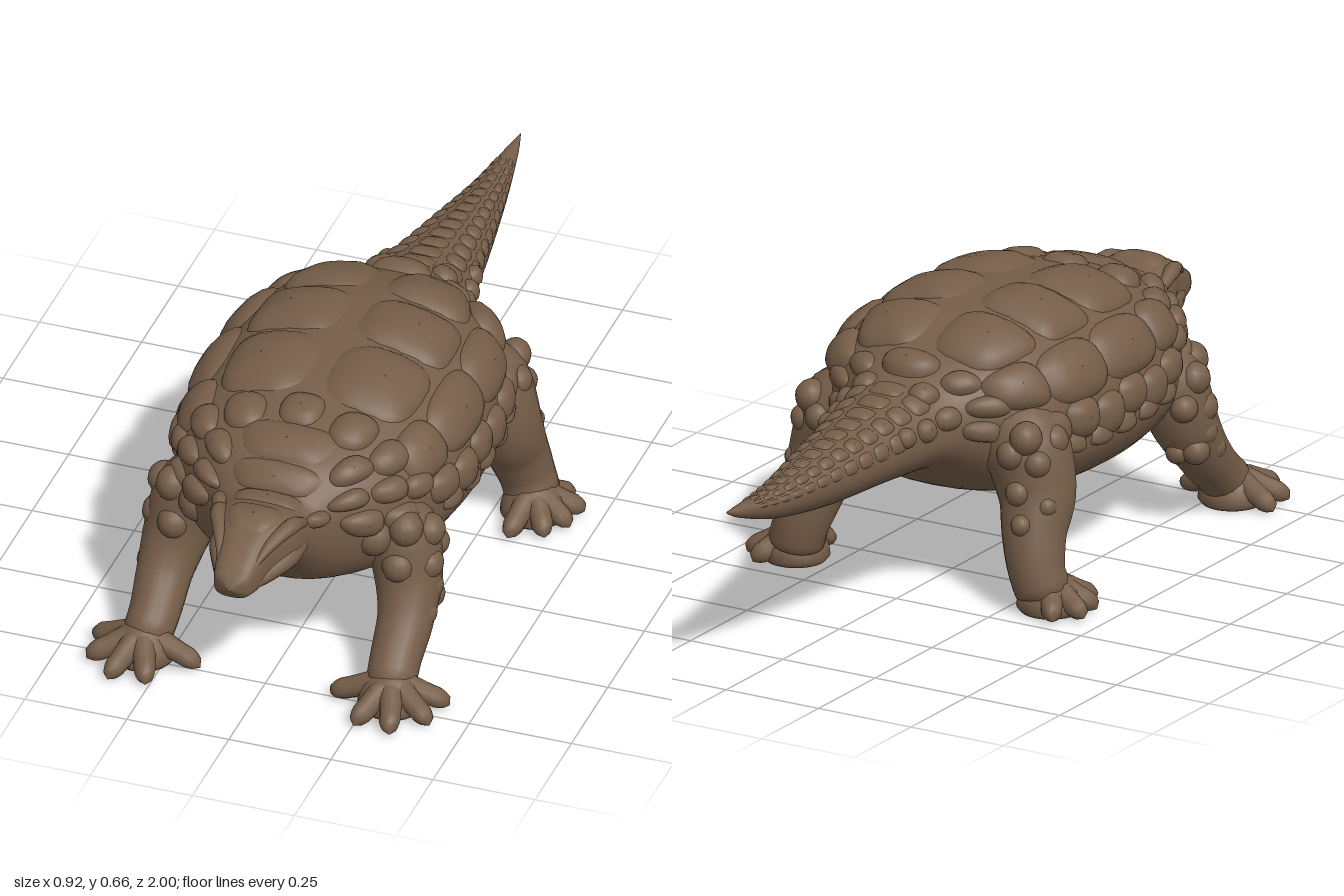
import * as THREE from 'three';
import { mergeVertices } from 'three/addons/utils/BufferGeometryUtils.js';

const hide = new THREE.MeshStandardMaterial({ color: 0x755d48 });
hide.name = 'brown hide';

// Body stations: z, half width, height of widest point, top, bottom, roundness (lower is boxier)
const S = [
  [1, 0.002, 0.42, 0.422, 0.418, 0.7], [0.99, 0.036, 0.42, 0.446, 0.394, 0.65], [0.96, 0.05, 0.42, 0.468, 0.382, 0.64],
  [0.89, 0.068, 0.43, 0.508, 0.378, 0.66], [0.82, 0.1, 0.44, 0.528, 0.374, 0.68], [0.72, 0.125, 0.43, 0.512, 0.305, 0.78],
  [0.65, 0.21, 0.41, 0.565, 0.24, 0.84], [0.55, 0.288, 0.39, 0.597, 0.207, 0.84], [0.4, 0.335, 0.38, 0.63, 0.19, 0.84],
  [0.2, 0.346, 0.37, 0.648, 0.185, 0.84], [0, 0.328, 0.37, 0.637, 0.21, 0.84], [-0.12, 0.27, 0.4, 0.598, 0.25, 0.84],
  [-0.22, 0.165, 0.42, 0.552, 0.318, 0.88], [-0.35, 0.122, 0.42, 0.518, 0.33, 0.9], [-0.6, 0.077, 0.41, 0.474, 0.338, 0.9],
  [-0.8, 0.042, 0.41, 0.442, 0.366, 0.9], [-0.95, 0.014, 0.428, 0.439, 0.412, 0.9], [-1, 0.001, 0.438, 0.439, 0.437, 0.9],
];
const slope = (i, k) => {
  const a = S[Math.max(i - 1, 0)], b = S[Math.min(i + 1, S.length - 1)];
  return (b[k] - a[k]) / (b[0] - a[0]);
};
function station(z) {
  let i = 0;
  while (i < S.length - 2 && z < S[i + 1][0]) i++;
  const d = S[i + 1][0] - S[i][0], t = THREE.MathUtils.clamp((z - S[i][0]) / d, 0, 1), t2 = t * t, t3 = t2 * t;
  return [1, 2, 3, 4, 5].map(k => S[i][k] * (2 * t3 - 3 * t2 + 1) + S[i + 1][k] * (3 * t2 - 2 * t3)
    + d * (slope(i, k) * (t3 - 2 * t2 + t) + slope(i + 1, k) * (t3 - t2)));
}
const spow = (v, p) => Math.sign(v) * Math.abs(v) ** p;

// Point on the body; angle 0 is the spine, +PI/2 the left flank
function surf(z, a) {
  const [w, mid, top, bot, round] = station(z);
  const up = Math.cos(a) > 0, p = up ? round : round + 0.08, c = spow(Math.cos(a), p);
  return new THREE.Vector3(w * spow(Math.sin(a), p), mid + c * (up ? top - mid : mid - bot), z);
}
function surfNormal(z, a) {
  const da = surf(z, a + 0.03).sub(surf(z, a - 0.03));
  const dz = surf(z - 0.01, a).sub(surf(z + 0.01, a));
  return da.cross(dz).normalize();
}

// Skin over rows of points; rows share a length and close on themselves
function skin(rows) {
  const n = rows[0].length, idx = [];
  for (let i = 0; i < rows.length - 1; i++) for (let j = 0; j < n; j++) {
    const a = i * n + j, b = i * n + (j + 1) % n;
    idx.push(a, b, a + n, b, b + n, a + n);
  }
  const g = new THREE.BufferGeometry().setFromPoints(rows.flat());
  g.setIndex(idx);
  g.computeVertexNormals();
  return g;
}
function add(parent, name, geo) {
  const m = new THREE.Mesh(geo, hide);
  m.name = name;
  parent.add(m);
  return m;
}
function group(parent, name) {
  const g = new THREE.Group();
  g.name = name;
  parent.add(g);
  return g;
}

// Domed scute lying on the body surface
function scute(parent, name, z, hz, a, ha, h, square = 0.7) {
  const rows = [1, 0.94, 0.84, 0.65, 0.35, 0.01].map(r => Array.from({ length: 24 }, (_, j) => {
    const t = j / 24 * Math.PI * 2;
    const pz = z - hz * r * spow(Math.sin(t), square), pa = a + ha * r * spow(Math.cos(t), square);
    return surf(pz, pa).addScaledVector(surfNormal(pz, pa), (h + 0.008) * (1 - r ** 4) - 0.008);
  }));
  add(parent, name, skin(rows));
}
function pair(parent, name, z, hz, a, ha, h, square) {
  for (const s of [1, -1]) scute(parent, name, z, hz, s * a, ha, h, square);
}

// Tapered round limb through [x, y, z, radius] points
function limb(parent, name, pts, sides = 14, steps = 16) {
  const curve = new THREE.CatmullRomCurve3(pts.map(p => new THREE.Vector3(p[0], p[1], p[2])));
  let g = new THREE.TubeGeometry(curve, steps, 1, sides);
  const pos = g.attributes.position, v = new THREE.Vector3(), c = new THREE.Vector3();
  for (let i = 0; i < pos.count; i++) {
    const t = Math.floor(i / (sides + 1)) / steps;
    curve.getPointAt(t, c);
    const u = curve.getUtoTmapping(t) * (pts.length - 1), k = Math.min(Math.floor(u), pts.length - 2);
    const r = THREE.MathUtils.lerp(pts[k][3], pts[k + 1][3], u - k);
    v.fromBufferAttribute(pos, i).sub(c).multiplyScalar(r).add(c);
    pos.setXYZ(i, v.x, Math.max(v.y, 0.008), v.z);
  }
  g.deleteAttribute('uv');
  g.deleteAttribute('normal');
  g = mergeVertices(g, 1e-5);
  g.computeVertexNormals();
  add(parent, name, g);
}
function knob(parent, name, x, y, z, rx, ry, rz) {
  const m = add(parent, name, new THREE.SphereGeometry(1, 14, 10));
  m.position.set(x, y, z);
  m.scale.set(rx, ry, rz);
}

// Foot: domed, flat-soled palm with fanned toes
function foot(parent, px, pz, tips) {
  const g = group(parent, 'foot');
  const profile = [[0.001, 0.008], [0.07, 0.006], [0.08, 0.018], [0.077, 0.04], [0.066, 0.065], [0.045, 0.088], [0.02, 0.1], [0.001, 0.103]];
  const palm = add(g, 'palm', new THREE.LatheGeometry(profile.map(p => new THREE.Vector2(...p)), 24));
  palm.position.set(px, 0, pz);
  for (const [x, z] of tips) {
    const at = (f, y, r) => [px + (x - px) * f, y, pz + (z - pz) * f, r];
    limb(g, 'toe', [at(0.25, 0.062, 0.03), at(0.6, 0.043, 0.026), at(0.82, 0.031, 0.025), at(0.95, 0.021, 0.016), at(1, 0.014, 0.001)], 10, 10);
  }
}

export function createModel() {
  const model = new THREE.Group();
  model.name = 'armouredReptile';

  // Head, trunk and tail in one skin
  const rows = [];
  for (let i = 0; i <= 110; i++) {
    const z = 1 - i / 55;
    rows.push(Array.from({ length: 40 }, (_, j) => surf(z, j / 40 * Math.PI * 2)));
  }
  add(model, 'body', skin(rows));

  // Back shield: paired plates, flank plates, rim scutes
  const shell = group(model, 'shell');
  pair(shell, 'backPlate', 0.35, 0.12, 0.375, 0.36, 0.023, 0.62);
  pair(shell, 'backPlate', 0.135, 0.103, 0.385, 0.37, 0.023, 0.5);
  pair(shell, 'backPlate', -0.06, 0.095, 0.375, 0.36, 0.023, 0.58);
  for (const [z, hz, a] of [[0.45, 0.08, 1], [0.27, 0.13, 1.02], [0.06, 0.115, 1.02], [-0.1, 0.07, 0.98]])
    pair(shell, 'flankPlate', z, hz, a, 0.29, 0.024, 0.7);
  for (let i = 0; i < 6; i++) pair(shell, 'rimScute', 0.43 - i * 0.098, 0.058, 1.41 + (i % 2) * 0.05, 0.16, 0.022, 0.8);
  for (let i = 0; i < 5; i++) pair(shell, 'lowerRimScute', 0.4 - i * 0.1, 0.045, 1.6, 0.1, 0.016, 0.9);
  scute(shell, 'spineScute', 0.5, 0.055, 0, 0.13, 0.018, 0.9);

  // Neck bands and shoulder knobs
  const neck = group(model, 'neckArmour');
  scute(neck, 'neckBand', 0.6, 0.06, 0, 0.42, 0.013, 0.6);
  scute(neck, 'neckBand', 0.685, 0.034, 0, 0.65, 0.012, 0.7);
  scute(neck, 'neckBand', 0.738, 0.03, 0, 0.8, 0.01, 0.7);
  for (const [z, hz, a, ha] of [[0.52, 0.06, 0.4, 0.2], [0.615, 0.05, 0.68, 0.19], [0.53, 0.055, 0.82, 0.19],
    [0.66, 0.038, 1.05, 0.18], [0.58, 0.045, 1.13, 0.17], [0.51, 0.045, 1.24, 0.15], [0.65, 0.04, 1.46, 0.19],
    [0.57, 0.045, 1.5, 0.16], [0.725, 0.03, 1.2, 0.25]])
    pair(neck, 'shoulderScute', z, hz, a, ha, 0.022, 0.85);

  // Head: crown plate, brows and jaws
  const head = group(model, 'head');
  scute(head, 'crownPlate', 0.835, 0.06, 0, 0.7, 0.006, 0.7);
  for (const s of [1, -1]) {
    limb(head, 'brow', [[s * 0.098, 0.482, 0.765, 0.012], [s * 0.09, 0.504, 0.82, 0.02], [s * 0.063, 0.488, 0.885, 0.015], [s * 0.04, 0.455, 0.95, 0.004]], 10);
    limb(head, 'jaw', [[s * 0.088, 0.425, 0.77, 0.024], [s * 0.082, 0.42, 0.83, 0.026], [s * 0.052, 0.41, 0.91, 0.018], [s * 0.032, 0.41, 0.975, 0.004]], 10);
  }

  // Rump knobs
  const rump = group(model, 'rumpArmour');
  scute(rump, 'rumpKnob', -0.195, 0.045, 0, 0.36, 0.028, 1);
  for (const [z, hz, a, ha] of [[-0.185, 0.035, 0.68, 0.24], [-0.17, 0.04, 1.15, 0.18], [-0.19, 0.035, 1.5, 0.16], [-0.25, 0.035, 1.2, 0.25],
    [-0.26, 0.035, 0.55, 0.28], [-0.315, 0.03, 1.25, 0.28], [-0.38, 0.028, 1.2, 0.28]])
    pair(rump, 'rumpKnob', z, hz, a, ha, 0.018, 0.9);

  // Low tail scales in shrinking rings
  const tail = group(model, 'tailScales');
  for (let i = 0; i < 13; i++) {
    const z = -0.29 - 0.062 * i + 0.0011 * i * i, h = 0.008 - i * 0.0004, hz = 0.032 - i * 0.001;
    scute(tail, 'tailScale', z, hz, 0, 0.33, h, 0.65);
    pair(tail, 'tailScale', z - 0.008, hz, 0.64, 0.31, h, 0.65);
    if (i > 1) pair(tail, 'tailScale', z, hz, 1.24, 0.3, h * 0.8, 0.65);
  }

  // Legs, mirrored left and right
  for (const s of [1, -1]) {
    const side = s > 0 ? 'left' : 'right';
    const front = group(model, side + 'FrontLeg');
    limb(front, 'leg', [[s * 0.2, 0.42, 0.52, 0.07], [s * 0.255, 0.35, 0.535, 0.09], [s * 0.283, 0.25, 0.56, 0.08],
      [s * 0.295, 0.17, 0.612, 0.066], [s * 0.295, 0.1, 0.68, 0.06], [s * 0.3, 0.055, 0.73, 0.058], [s * 0.305, 0.03, 0.75, 0.01]], 18, 24);
    foot(front, s * 0.305, 0.735, [[0.435, 0.705], [0.42, 0.8], [0.345, 0.868], [0.255, 0.86], [0.16, 0.75]].map(p => [s * p[0], p[1]]));
    for (const [x, y, z, r] of [[0.215, 0.375, 0.605, 0.052], [0.285, 0.395, 0.585, 0.045], [0.325, 0.37, 0.535, 0.042], [0.275, 0.305, 0.605, 0.044],
      [0.33, 0.295, 0.56, 0.042], [0.325, 0.31, 0.49, 0.036], [0.335, 0.235, 0.56, 0.036], [0.338, 0.185, 0.6, 0.032],
      [0.33, 0.195, 0.535, 0.036], [0.33, 0.15, 0.635, 0.026], [0.29, 0.19, 0.52, 0.032]])
      knob(front, 'legScute', s * x, y, z, r * 0.9, r * 0.95, r);

    const hind = group(model, side + 'HindLeg');
    limb(hind, 'leg', [[s * 0.17, 0.42, -0.08, 0.08], [s * 0.24, 0.38, -0.08, 0.106], [s * 0.283, 0.27, -0.09, 0.092],
      [s * 0.3, 0.18, -0.13, 0.075], [s * 0.32, 0.1, -0.15, 0.066], [s * 0.335, 0.05, -0.145, 0.066], [s * 0.335, 0.02, -0.145, 0.01]], 18, 24);
    foot(hind, s * 0.345, -0.13, [[0.325, 0], [0.405, -0.03], [0.445, -0.09], [0.455, -0.165], [0.405, -0.222]].map(p => [s * p[0], p[1]]));
    for (const [x, y, z, r] of [[0.29, 0.42, -0.15, 0.042], [0.32, 0.4, -0.08, 0.04], [0.26, 0.38, -0.165, 0.038], [0.315, 0.36, -0.14, 0.036],
      [0.28, 0.29, -0.165, 0.034], [0.3, 0.22, -0.185, 0.028], [0.34, 0.26, -0.14, 0.028]])
      knob(hind, 'legScute', s * x, y, z, r * 0.9, r * 0.95, r);
  }
  return model;
}
